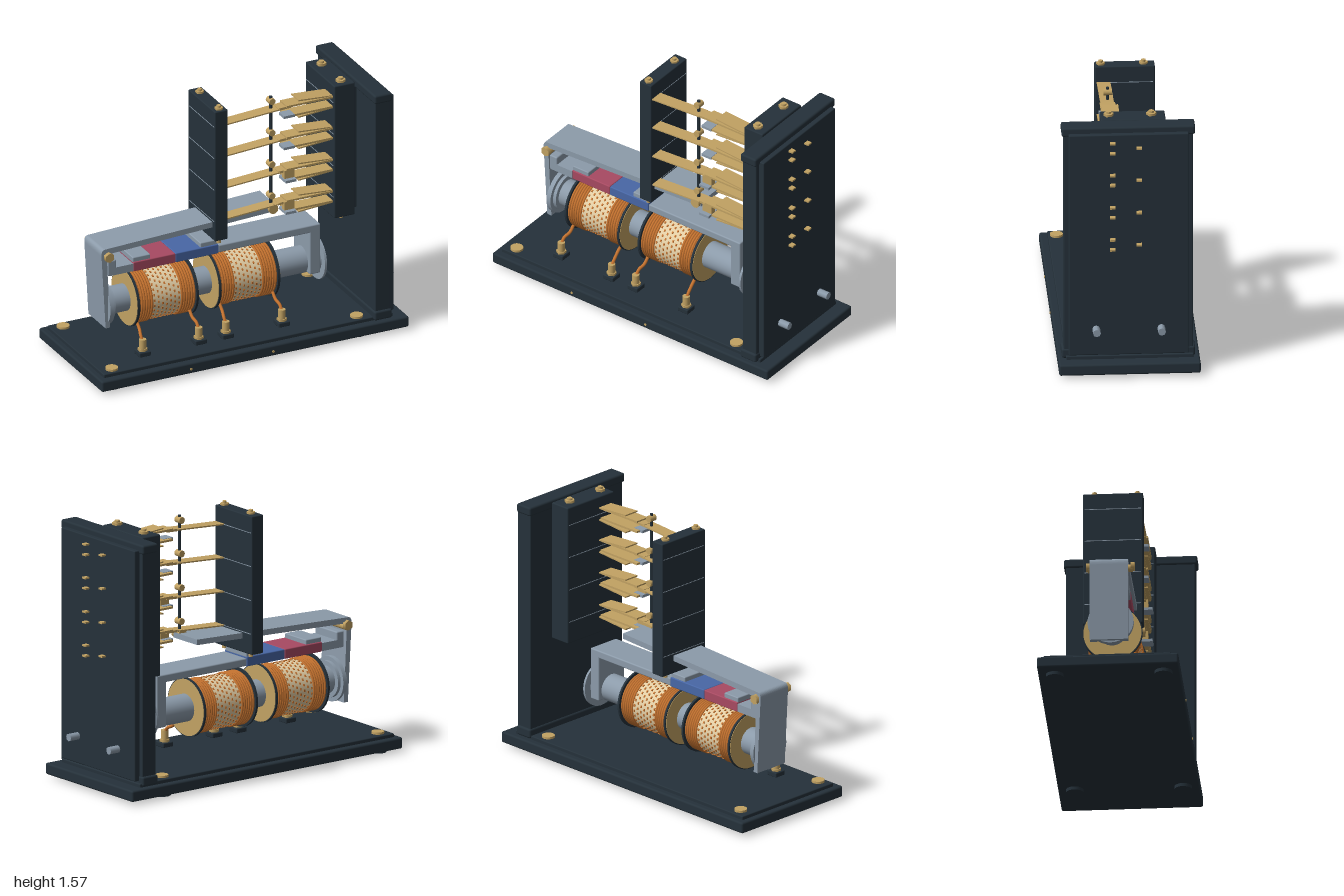
import * as THREE from 'three';
import { mergeGeometries } from 'three/addons/utils/BufferGeometryUtils.js';
import { RoundedBoxGeometry } from 'three/addons/geometries/RoundedBoxGeometry.js';

const mat = (name, color) => {
  const m = new THREE.MeshStandardMaterial({ color });
  m.name = name;
  return m;
};

export function createModel() {
  const root = new THREE.Group();
  root.name = 'relay';
  const dark = mat('dark panel', 0x25313a), steel = mat('steel', 0x8c9baa);
  const brass = mat('brass', 0xc2a263), copper = mat('copper wire', 0xc4722f);
  const cream = mat('cream paper', 0xe2cda4), red = mat('red', 0xa84a62);
  const blue = mat('blue', 0x4867a6);

  const add = (name, geo, m, x = 0, y = 0, z = 0, parent = root) => {
    const mesh = new THREE.Mesh(geo, m);
    mesh.name = name;
    mesh.position.set(x, y, z);
    parent.add(mesh);
    return mesh;
  };
  // Box given by its limits; r rounds the edges
  const box = (name, m, x0, x1, y0, y1, z0, z1, r = 0) => {
    const s = [x1 - x0, y1 - y0, z1 - z0];
    const geo = r ? new RoundedBoxGeometry(...s, 2, r) : new THREE.BoxGeometry(...s);
    return add(name, geo, m, (x0 + x1) / 2, (y0 + y1) / 2, (z0 + z1) / 2);
  };
  const cylY = (name, m, r, x, y0, y1, z, n = 20) =>
    add(name, new THREE.CylinderGeometry(r, r, y1 - y0, n), m, x, (y0 + y1) / 2, z);
  const cylX = (name, m, r, x0, x1, y, z, n = 32) =>
    add(name, new THREE.CylinderGeometry(r, r, x1 - x0, n).rotateZ(Math.PI / 2), m, (x0 + x1) / 2, y, z);
  const cylZ = (name, m, r, x, y, z0, z1, n = 20) =>
    add(name, new THREE.CylinderGeometry(r, r, z1 - z0, n).rotateX(Math.PI / 2), m, x, y, (z0 + z1) / 2);
  // Thin flat strip between two points of the front plane
  const strip = (name, m, x0, y0, x1, y1, t, z0, z1) => {
    const b = add(name, new THREE.BoxGeometry(Math.hypot(x1 - x0, y1 - y0), t, z1 - z0), m,
      (x0 + x1) / 2, (y0 + y1) / 2, (z0 + z1) / 2);
    b.rotation.z = Math.atan2(y1 - y0, x1 - x0);
  };

  // Base with feet and corner bolts
  box('base', dark, -1, 1, 0.02, 0.088, -0.417, 0.41, 0.012);
  box('baseTop', dark, -0.965, 0.915, 0.08, 0.11, -0.38, 0.365, 0.006);
  for (const x of [-0.89, 0.705]) for (const z of [-0.32, 0.315]) {
    cylY('foot', dark, 0.052, x, 0, 0.025, z, 24);
    cylY('baseBolt', brass, 0.038, x, 0.108, 0.123, z);
  }
  for (const x of [-0.42, 0.115]) cylZ('basePin', brass, 0.008, x, 0.05, 0.4, 0.415, 8);

  // Upright panel with end bands, cover plate and pegs
  box('panel', dark, 0.795, 0.895, 0.09, 1.54, -0.378, 0.378, 0.006);
  box('panelTopBand', dark, 0.787, 0.9, 1.49, 1.545, -0.39, 0.39, 0.012);
  box('panelBottomBand', dark, 0.787, 0.9, 0.092, 0.15, -0.39, 0.39, 0.012);
  box('panelCover', dark, 0.89, 0.93, 0.12, 1.51, -0.35, 0.35, 0.006);
  for (const z of [-0.19, 0.19]) cylX('peg', steel, 0.023, 0.92, 0.998, 0.285, z, 8);

  // Spring stacks
  box('movingStack', dark, -0.13, -0.045, 0.695, 1.53, -0.21, 0.14, 0.006);
  box('fixedStack', dark, 0.64, 0.775, 0.685, 1.54, -0.225, 0.155, 0.008);
  box('stackMount', dark, 0.77, 0.8, 0.72, 1.5, -0.2, 0.13);
  for (const z of [-0.145, 0.105]) {
    cylY('stackBolt', brass, 0.026, -0.088, 1.525, 1.542, z, 6);
    cylY('stackBoltTip', brass, 0.013, -0.088, 1.54, 1.555, z, 12);
    cylY('stackBolt', brass, 0.03, 0.705, 1.535, 1.555, z, 6);
    cylY('stackBoltTip', brass, 0.016, 0.705, 1.55, 1.567, z, 12);
    cylY('stackBoltEnd', brass, 0.014, -0.088, 0.668, 0.7, z, 12);
    cylY('stackBoltEnd', brass, 0.014, 0.705, 0.662, 0.69, z, 12);
  }

  // Contact rows: moving spring between two fixed springs
  [1.43, 1.228, 1.023, 0.82].forEach((y, i) => {
    const up = y + 0.033, low = y - 0.03;
    strip('movingSpring', brass, -0.05, y, 0.3, y + 0.022, 0.008, 0.05, 0.13);
    strip('movingContact', brass, 0.29, y + 0.021, 0.375, y + 0.025, 0.014, 0.055, 0.125);
    box('upperSpring', brass, 0.34, 0.645, up - 0.006, up + 0.006, 0.045, 0.135);
    box('lowerSpring', brass, 0.34, 0.645, low - 0.006, low + 0.006, 0.045, 0.135);
    strip('upperBacking', brass, 0.42, up + 0.022, 0.645, up + 0.006, 0.008, 0.032, 0.13);
    strip('lowerBacking', brass, 0.42, low - 0.022, 0.645, low - 0.006, 0.008, 0.032, 0.13);
    box('lowerTip', steel, 0.32, 0.39, low - 0.008, low + 0.008, 0.07, i < 2 ? 0.14 : 0.163);
    if (i > 1) box('contactBlock', brass, 0.325, 0.39, y - 0.024, y + 0.03, 0.1, 0.135);
    // Thin joints on the stacks
    box('stackJoint', steel, -0.1315, -0.0435, y - 0.002, y + 0.002, -0.2, 0.13);
    box('stackJoint', steel, 0.6385, 0.65, y - 0.002, y + 0.002, -0.215, 0.145);
    // Tails through the panel
    for (const [ty, tz] of [[up, 0.095], [low, 0.095], [y, -0.06]])
      box('springTail', brass, 0.9, 0.96, ty - 0.005, ty + 0.005, tz - 0.016, tz + 0.016);
    // Collars on the lifting rod
    cylZ('rodCollar', brass, 0.02, 0.26, y + 0.071, 0.06, 0.108, 16);
  });
  cylY('liftRod', dark, 0.01, 0.26, 0.8, 1.53, 0.085, 12);
  cylZ('rodBracket', brass, 0.03, 0.26, 0.815, 0.055, 0.125, 12);

  // Bent armature: a long arm and a hanging plate
  const bend = new THREE.Shape();
  bend.moveTo(0.29, 0.825);
  bend.lineTo(-0.83, 0.778);
  bend.quadraticCurveTo(-0.853, 0.775, -0.852, 0.74);
  bend.lineTo(-0.825, 0.268);
  bend.lineTo(-0.795, 0.268);
  bend.lineTo(-0.818, 0.743);
  bend.lineTo(0.29, 0.792);
  add('armature', new THREE.ExtrudeGeometry(bend, { depth: 0.225, bevelEnabled: false }), steel, 0, 0, -0.12);
  cylZ('pivotPin', brass, 0.022, -0.815, 0.725, -0.13, 0.13);
  for (const z of [-0.13, 0.13]) cylZ('pivotNut', brass, 0.03, -0.815, 0.735, z - 0.012, z + 0.012, 6);

  // Yoke with coloured magnet sections
  box('yokeEnd', steel, -0.81, -0.755, 0.6, 0.697, -0.105, 0.105, 0.008);
  box('yokeLeft', steel, -0.8, -0.645, 0.6, 0.648, -0.105, 0.105);
  box('yokeRed', red, -0.645, -0.37, 0.597, 0.657, -0.107, 0.107, 0.006);
  box('yokeBlue', blue, -0.37, -0.09, 0.597, 0.657, -0.107, 0.107, 0.006);
  box('yokeRight', steel, -0.09, 0.575, 0.6, 0.648, -0.105, 0.105, 0.008);
  box('yokeLeg', steel, 0.505, 0.575, 0.33, 0.645, -0.105, 0.105, 0.008);
  box('yokeTab', steel, -0.645, -0.53, 0.65, 0.685, -0.1, 0.1, 0.006);
  box('yokeTab', steel, -0.205, -0.09, 0.65, 0.685, -0.1, 0.1, 0.006);

  // Core and its pole discs
  const cy = 0.39;
  cylX('core', steel, 0.082, -0.78, 0.53, cy, 0);
  cylX('poleDisc', steel, 0.135, -0.808, -0.78, cy, 0);
  cylX('poleStep', steel, 0.11, -0.782, -0.76, cy, 0);
  cylX('endHub', steel, 0.09, 0.57, 0.62, cy, 0);
  cylX('endDisc', steel, 0.137, 0.588, 0.602, cy, 0);

  // Coils
  for (const x0 of [-0.65, -0.12]) {
    const coil = new THREE.Group();
    coil.name = 'coil';
    coil.position.set(x0 + 0.2, cy, 0);
    root.add(coil);
    const disc = (name, r, w, m, x) =>
      add(name, new THREE.CylinderGeometry(r, r, w, 40).rotateZ(Math.PI / 2), m, x, 0, 0, coil);
    disc('paper', 0.154, 0.37, cream, 0);
    for (const s of [-1, 1]) {
      disc('flange', 0.176, 0.014, dark, s * 0.191);
      disc('flangeFace', 0.17, 0.008, brass, s * 0.197);
      const rings = [];
      for (let i = 0; i < 6; i++)
        rings.push(new THREE.TorusGeometry(0.155, 0.0085, 6, 40).rotateY(Math.PI / 2)
          .translate(s * (0.098 + i * 0.016), 0, 0));
      add('winding', mergeGeometries(rings), copper, 0, 0, 0, coil);
    }
    // Wire flecks in slanted rows over the paper
    const flecks = [];
    for (let row = 0; row < 7; row++) for (let k = 0; k < 30; k++)
      flecks.push(new THREE.BoxGeometry(0.009, 0.006, 0.014)
        .translate(0, 0.155, 0)
        .rotateX(((k + row * 0.4) / 30) * Math.PI * 2)
        .translate(-0.08 + row * 0.0265, 0, 0));
    add('wireFlecks', mergeGeometries(flecks), copper, 0, 0, 0, coil);
  }

  // Terminals and coil leads
  [[-0.64, 0.012], [-0.275, -0.008], [-0.098, 0.01], [0.267, -0.008]].forEach(([x, dx]) => {
    const z = 0.217;
    box('terminalBase', dark, x - 0.037, x + 0.037, 0.108, 0.138, z - 0.037, z + 0.037, 0.006);
    cylY('terminalNut', brass, 0.03, x, 0.137, 0.152, z, 6);
    cylY('terminalPost', brass, 0.022, x, 0.15, 0.208, z, 16);
    const path = new THREE.CatmullRomCurve3([
      [x + dx, 0.28, 0.11], [x + dx, 0.245, 0.15], [x, 0.225, 0.19], [x, 0.19, z],
    ].map(p => new THREE.Vector3(...p)));
    add('coilLead', new THREE.TubeGeometry(path, 14, 0.01, 8), copper);
  });

  return root;
}
